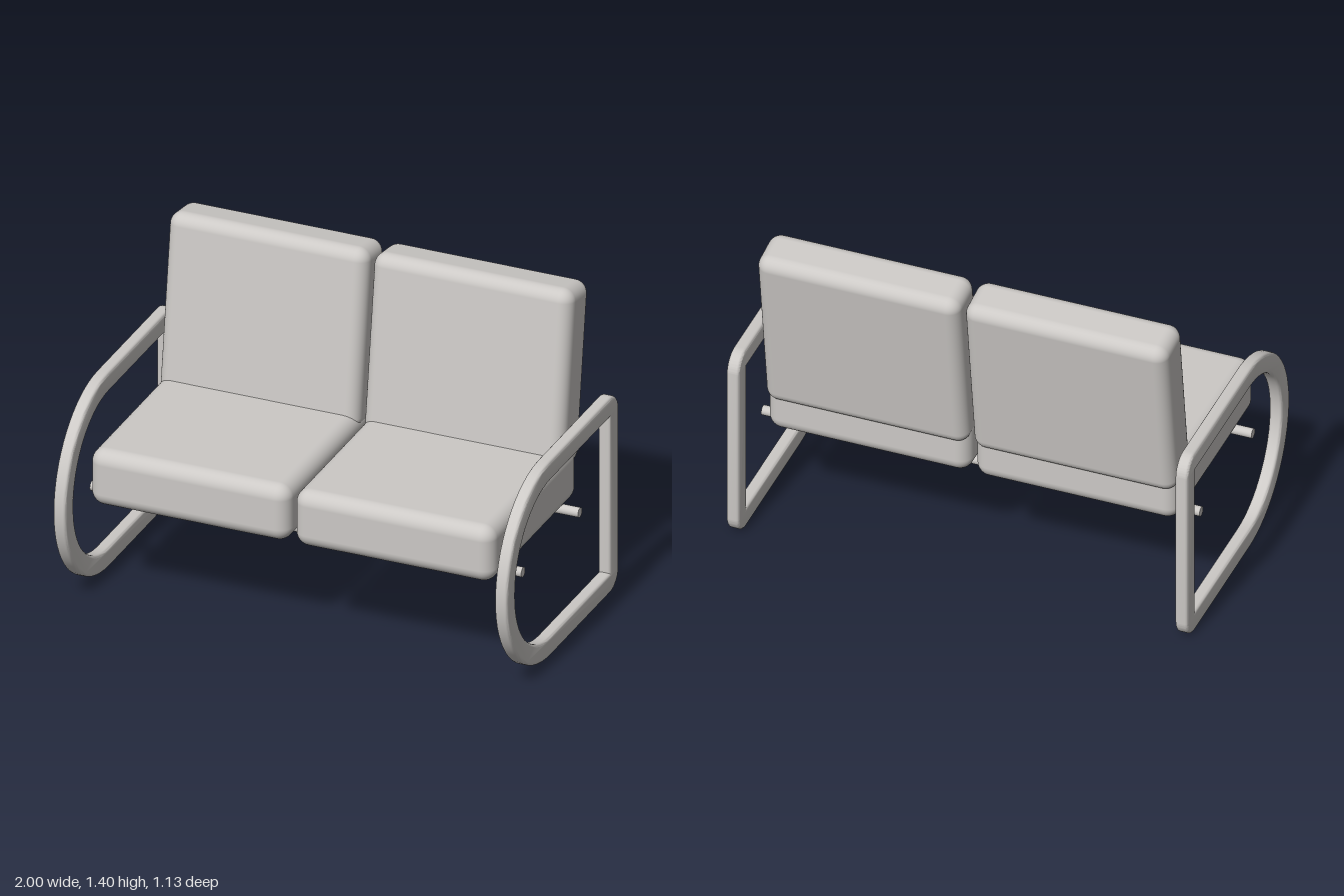
import * as THREE from 'three';
import { RoundedBoxGeometry } from 'three/addons/geometries/RoundedBoxGeometry.js';
import { toCreasedNormals } from 'three/addons/utils/BufferGeometryUtils.js';

const HEIGHT = 0.885;
const MID = HEIGHT / 2;
const BACK = -0.565;
const ARC_Z = 0.1225; // centre of the rounded front

// D-shaped outline (x = depth, y = height), inset from the outer edge
function outline(PathClass, inset, corner) {
  const r = MID - inset;
  const back = BACK + inset;
  const top = HEIGHT - inset;
  const p = new PathClass();
  p.moveTo(ARC_Z, inset);
  p.absarc(ARC_Z, MID, r, -Math.PI / 2, Math.PI / 2, false);
  if (corner > 0) {
    p.lineTo(back + corner, top);
    p.absarc(back + corner, top - corner, corner, Math.PI / 2, Math.PI, false);
    p.lineTo(back, inset + corner);
    p.absarc(back + corner, inset + corner, corner, Math.PI, Math.PI * 1.5, false);
  } else {
    p.lineTo(back, top);
    p.lineTo(back, inset);
  }
  p.closePath();
  return p;
}

function sideFrameGeometry() {
  const width = 0.055;
  const bevel = 0.012;
  const shape = outline(THREE.Shape, 0, 0.085);
  shape.holes.push(outline(THREE.Path, 0.088, 0));
  const geo = new THREE.ExtrudeGeometry(shape, {
    depth: width - 2 * bevel,
    bevelEnabled: true,
    bevelThickness: bevel,
    bevelSize: bevel,
    bevelOffset: -bevel,
    bevelSegments: 3,
    curveSegments: 16,
  });
  geo.translate(0, 0, -width / 2 + bevel);
  geo.rotateY(-Math.PI / 2);
  return toCreasedNormals(geo, 0.6);
}

export function createModel() {
  const group = new THREE.Group();
  group.name = 'twoSeatSofa';
  const grey = new THREE.MeshStandardMaterial({ color: 0xccc9c6 });
  grey.name = 'warm grey';

  const add = (name, geometry, x, y, z) => {
    const mesh = new THREE.Mesh(geometry, grey);
    mesh.name = name;
    mesh.position.set(x, y, z);
    group.add(mesh);
    return mesh;
  };

  const frame = sideFrameGeometry();
  const seat = new RoundedBoxGeometry(0.88, 0.252, 0.875, 5, 0.06);
  const backrest = new RoundedBoxGeometry(0.88, 0.785, 0.21, 5, 0.055);

  // Frame, seat cushion and reclined back cushion on each side
  for (const [label, s] of [['left', 1], ['right', -1]]) {
    add(label + 'SideFrame', frame, s * 0.9725, 0, 0);
    add(label + 'SeatCushion', seat, s * 0.45, 0.576, 0.0275);
    add(label + 'BackCushion', backrest, s * 0.45, 1.005, -0.38).rotation.x = -0.14;
  }

  // Crossbars under the seat
  const bar = new THREE.CylinderGeometry(0.021, 0.021, 1.9, 20);
  bar.rotateZ(Math.PI / 2);
  add('frontCrossbar', bar, 0, 0.447, 0.287);
  add('rearCrossbar', bar, 0, 0.447, -0.285);

  return group;
}
